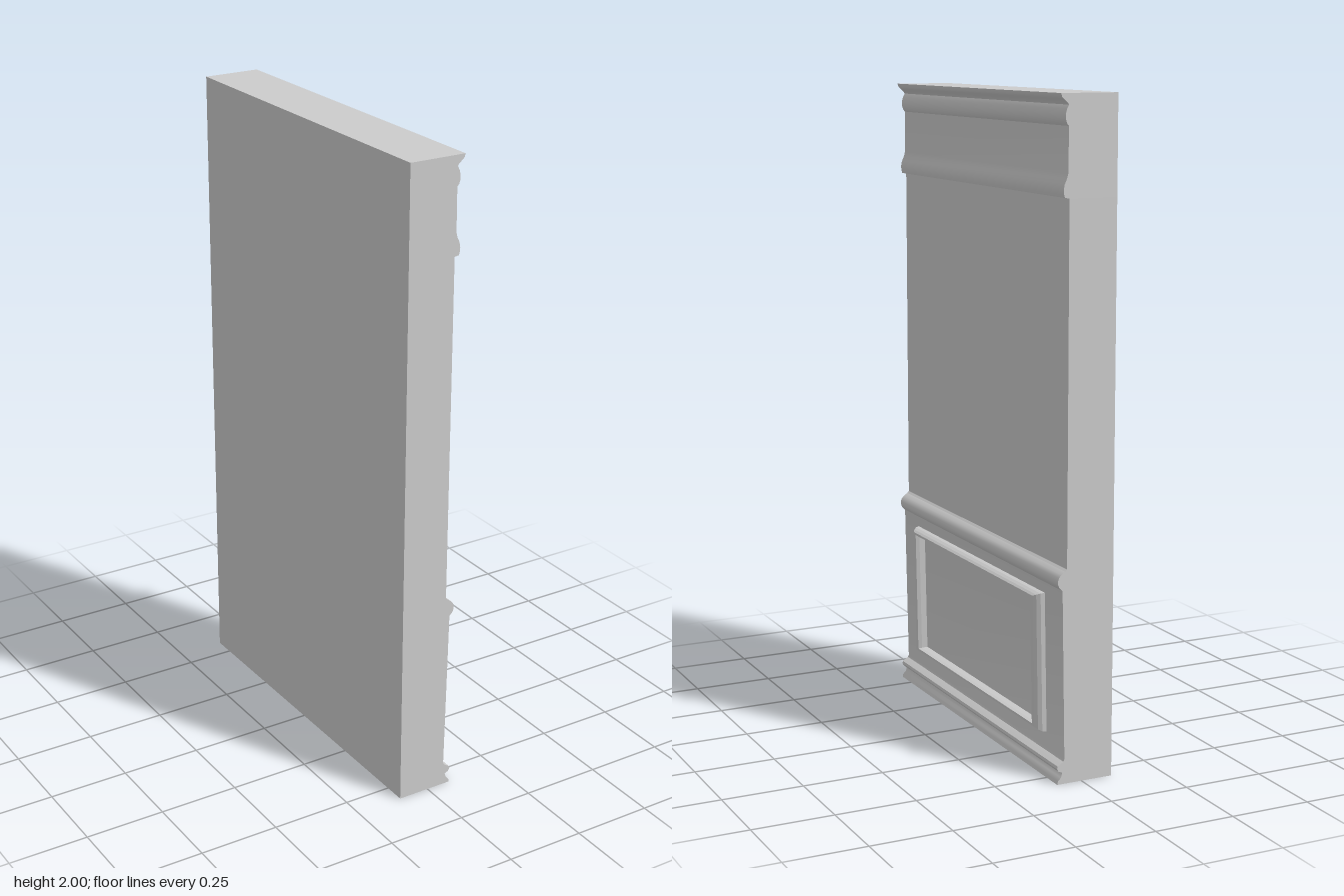
import * as THREE from 'three';
import { toCreasedNormals } from 'three/addons/utils/BufferGeometryUtils.js';

const BACK = -0.1, WIDTH = 1.136;

export function createModel() {
  const group = new THREE.Group();
  const material = new THREE.MeshStandardMaterial({ color: 0xcccccc });
  const add = (name, geometry) => {
    const mesh = new THREE.Mesh(geometry, material);
    mesh.name = name;
    group.add(mesh);
  };

  // Extrudes a moulding profile, listed from bottom to top as [x, y], along z
  const moulding = (profile) => {
    const low = profile[0][1], high = profile[profile.length - 1][1];
    const points = [[BACK, low], ...profile, [BACK, high]].map(([x, y]) => new THREE.Vector2(x, y));
    const geometry = new THREE.ExtrudeGeometry(new THREE.Shape(points), { depth: WIDTH, bevelEnabled: false });
    return toCreasedNormals(geometry.translate(0, 0, -WIDTH / 2), 0.6);
  };

  // Base with skirting, slightly leaning face and chair rail
  add('base', moulding([
    [0.08, 0], [0.078, 0.01], [0.068, 0.02], [0.064, 0.035],
    [0.076, 0.04], [0.081, 0.048], [0.079, 0.056], [0.07, 0.062], [0.06, 0.068],
    [0.057, 0.075], [0.066, 0.575],
    [0.067, 0.585], [0.077, 0.595], [0.081, 0.605], [0.081, 0.615],
    [0.078, 0.624], [0.07, 0.633], [0.058, 0.641], [0.052, 0.647],
  ]));

  // Plain wall field
  const wall = new THREE.BoxGeometry(0.152, 1.063, WIDTH);
  add('wallField', wall.translate(BACK + 0.076, 1.1785, 0));

  // Top frieze with picture rail and cornice
  add('cornice', moulding([
    [0.052, 1.71], [0.066, 1.712], [0.069, 1.722], [0.07, 1.735], [0.067, 1.75],
    [0.06, 1.765], [0.056, 1.78], [0.055, 1.91],
    [0.061, 1.917], [0.065, 1.93], [0.065, 1.943], [0.061, 1.957], [0.055, 1.968],
    [0.06, 1.975], [0.07, 1.983], [0.077, 1.99], [0.08, 2],
  ]));

  // Panel frame: nested rectangles given as [inset 0..1, height off the face]
  const rings = [[0, -0.004], [0.1, 0.012], [0.28, 0.022], [0.5, 0.029], [0.8, 0.029], [0.9, 0.018], [1, -0.004]];
  const corners = [[1, -1], [-1, -1], [-1, 1], [1, 1]];
  const point = ([inset, height], [sz, sy]) => {
    const z = sz * (0.457 - 0.05 * inset);
    const y = 0.338 + sy * (0.214 - 0.024 * inset);
    return [0.057 + 0.018 * (y - 0.075) + height, y, z];
  };
  const positions = [];
  for (let r = 0; r < rings.length - 1; r++) {
    for (let c = 0; c < 4; c++) {
      const n = (c + 1) % 4;
      const a = point(rings[r], corners[c]), b = point(rings[r], corners[n]);
      const d = point(rings[r + 1], corners[c]), e = point(rings[r + 1], corners[n]);
      positions.push(...a, ...b, ...e, ...a, ...e, ...d);
    }
  }
  const frame = new THREE.BufferGeometry();
  frame.setAttribute('position', new THREE.Float32BufferAttribute(positions, 3));
  frame.computeVertexNormals();
  add('panelFrame', frame);

  return group;
}
